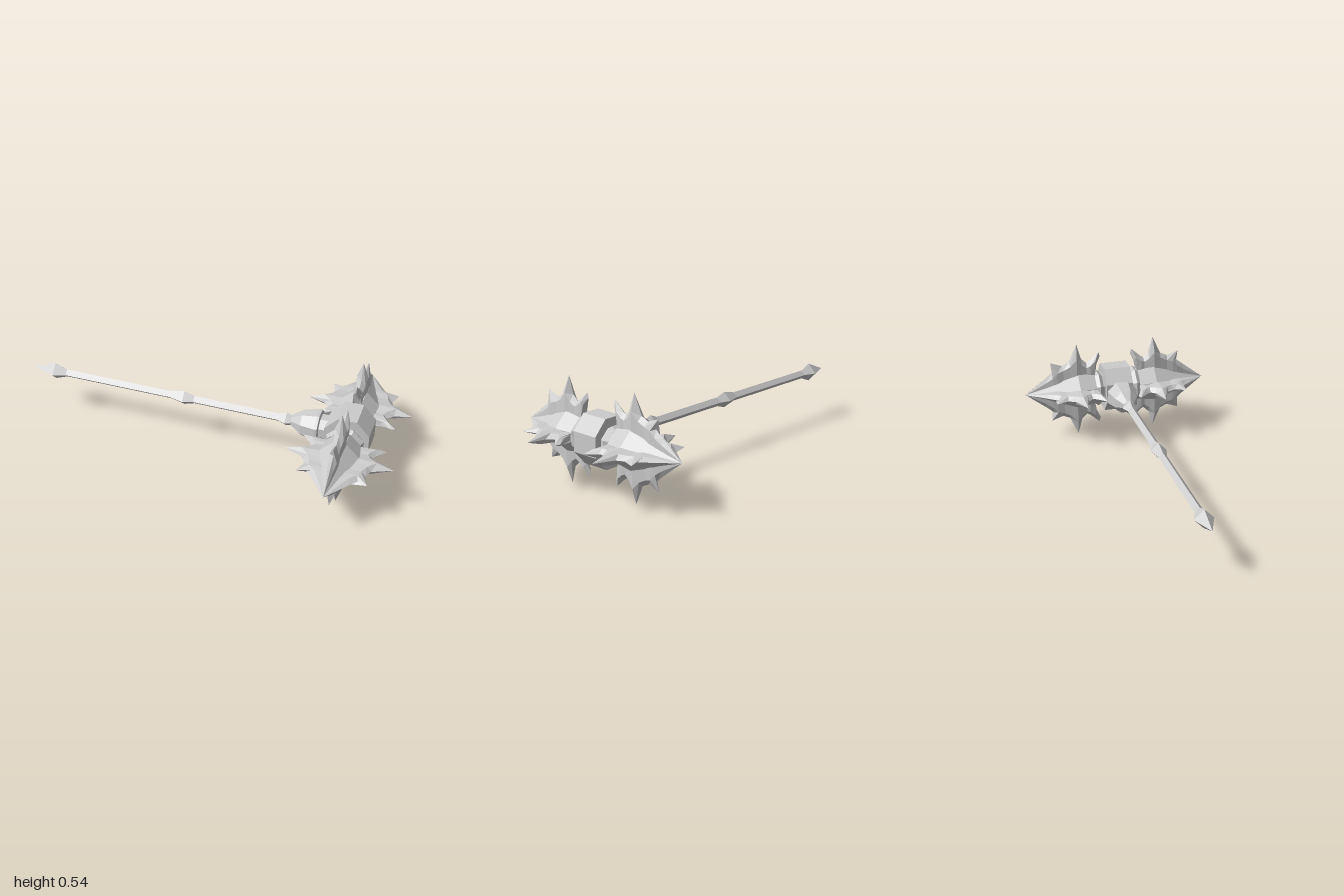
import * as THREE from 'three';

const CY = 0.272; // height of the handle axis
const HX = 0.727; // handle position of the head

const steel = new THREE.MeshStandardMaterial({ color: 0xcccccc, flatShading: true, side: THREE.DoubleSide });
steel.name = 'steel grey';

function part(name, geometry) {
  const m = new THREE.Mesh(geometry, steel);
  m.name = name;
  return m;
}

// Eight-sided turned shape with flats facing the axes; rows are [position, half width]
function turned(rows) {
  const k = 1 / Math.cos(Math.PI / 8);
  return new THREE.LatheGeometry(rows.map(([p, r]) => new THREE.Vector2(r * k, p)), 8, Math.PI / 8);
}

// Four-sided turned shape with edges on the axes
function diamond(rows) {
  return new THREE.LatheGeometry(rows.map(([p, r]) => new THREE.Vector2(r, p)), 4);
}

// Skin over a row of cross-sections, each a list of [x, y, z]
function loft(sections, closed) {
  const n = sections[0].length, pos = sections.flat(2), idx = [];
  for (let i = 0; i < sections.length - 1; i++) {
    for (let j = 0; j < (closed ? n : n - 1); j++) {
      const a = i * n + j, b = i * n + (j + 1) % n;
      idx.push(a, b, b + n, a, b + n, a + n);
    }
  }
  const g = new THREE.BufferGeometry();
  g.setAttribute('position', new THREE.Float32BufferAttribute(pos, 3));
  g.setIndex(idx);
  const flat = g.toNonIndexed();
  flat.computeVertexNormals();
  return flat;
}

// Chamfered square core tapering to the tip: [z, half width, half width of the flat]
function coreGeometry() {
  const rows = [[0.115, 0, 0], [0.12, 0.085, 0.025], [0.22, 0.101, 0.028], [0.513, 0, 0]];
  return loft(rows.map(([z, r, f]) => [
    [r, -f, z], [r, f, z], [f, r, z], [-f, r, z],
    [-r, f, z], [-r, -f, z], [-f, -r, z], [f, -r, z],
  ]), true);
}

// Spiked blade: [ridge z, ridge radius, shoulder z, shoulder radius, shoulder half width, foot radius]
function bladeGeometry() {
  const rows = [
    [0.515, 0, 0.513, 0, 0, 0],
    [0.4, 0.088, 0.4, 0.062, 0.014, 0.034],
    [0.355, 0.125, 0.362, 0.088, 0.02, 0.048],
    [0.37, 0.175, 0.335, 0.118, 0.022, 0.056],
    [0.305, 0.152, 0.3, 0.128, 0.02, 0.068],
    [0.265, 0.17, 0.262, 0.148, 0.024, 0.08],
    [0.22, 0.272, 0.225, 0.188, 0.029, 0.095],
    [0.195, 0.183, 0.195, 0.15, 0.024, 0.093],
    [0.165, 0.155, 0.168, 0.132, 0.02, 0.09],
    [0.148, 0.165, 0.148, 0.14, 0.023, 0.086],
    [0.095, 0.212, 0.118, 0.165, 0.02, 0.084],
    [0.087, 0.186, 0.11, 0.15, 0.016, 0.084],
    [0.115, 0.13, 0.118, 0.12, 0.016, 0.084],
    [0.13, 0.08, 0.13, 0.08, 0.012, 0.08],
  ];
  return loft(rows.map(([zr, r, zs, rs, w, foot]) => {
    const fw = w * 1.1, zf = Math.max(zs, 0.122);
    return [[fw, foot, zf], [w, rs, zs], [0, r, zr], [-w, rs, zs], [-fw, foot, zf]];
  }), false);
}

// One spiked end of the head, pointing to +z
function hammerEnd(name) {
  const g = new THREE.Group();
  g.name = name;
  const neck = part('neck', turned([[0.07, 0.078], [0.085, 0.08], [0.105, 0.095], [0.125, 0.083]]));
  neck.rotation.x = Math.PI / 2;
  g.add(neck, part('core', coreGeometry()));
  const blade = bladeGeometry();
  for (let i = 0; i < 4; i++) {
    const b = part('spikedBlade', blade);
    b.rotation.z = i * Math.PI / 2;
    g.add(b);
  }
  return g;
}

export function createModel() {
  const model = new THREE.Group();
  model.name = 'warHammer';

  // Handle pieces, laid along x
  const handle = new THREE.Group();
  handle.name = 'handle';
  handle.add(
    part('pommel', diamond([[-1, 0], [-0.88, 0.049], [-0.815, 0.023]])),
    part('shaft', diamond([[-0.815, 0.023], [-0.225, 0.023], [-0.15, 0.042], [-0.095, 0.024], [0.36, 0.024]])),
    part('collar', diamond([[0.36, 0.024], [0.4, 0.042], [0.435, 0.03]])),
    part('socket', turned([[0.43, 0.028], [0.485, 0.062], [0.562, 0.08], [0.576, 0.08], [0.58, 0.06], [0.63, 0.06]])),
  );
  handle.rotation.z = -Math.PI / 2;
  handle.position.y = CY;
  model.add(handle);

  // Octagonal centre block
  const head = new THREE.Group();
  head.name = 'head';
  head.position.set(HX, CY, 0);
  const block = part('centreBlock', turned([[-0.075, 0], [-0.075, 0.125], [0.075, 0.125], [0.075, 0]]));
  block.rotation.x = Math.PI / 2;
  block.scale.x = 0.91;
  head.add(block);

  // Matching spiked ends
  const back = hammerEnd('backEnd');
  back.rotation.y = Math.PI;
  head.add(hammerEnd('frontEnd'), back);
  model.add(head);
  return model;
}
